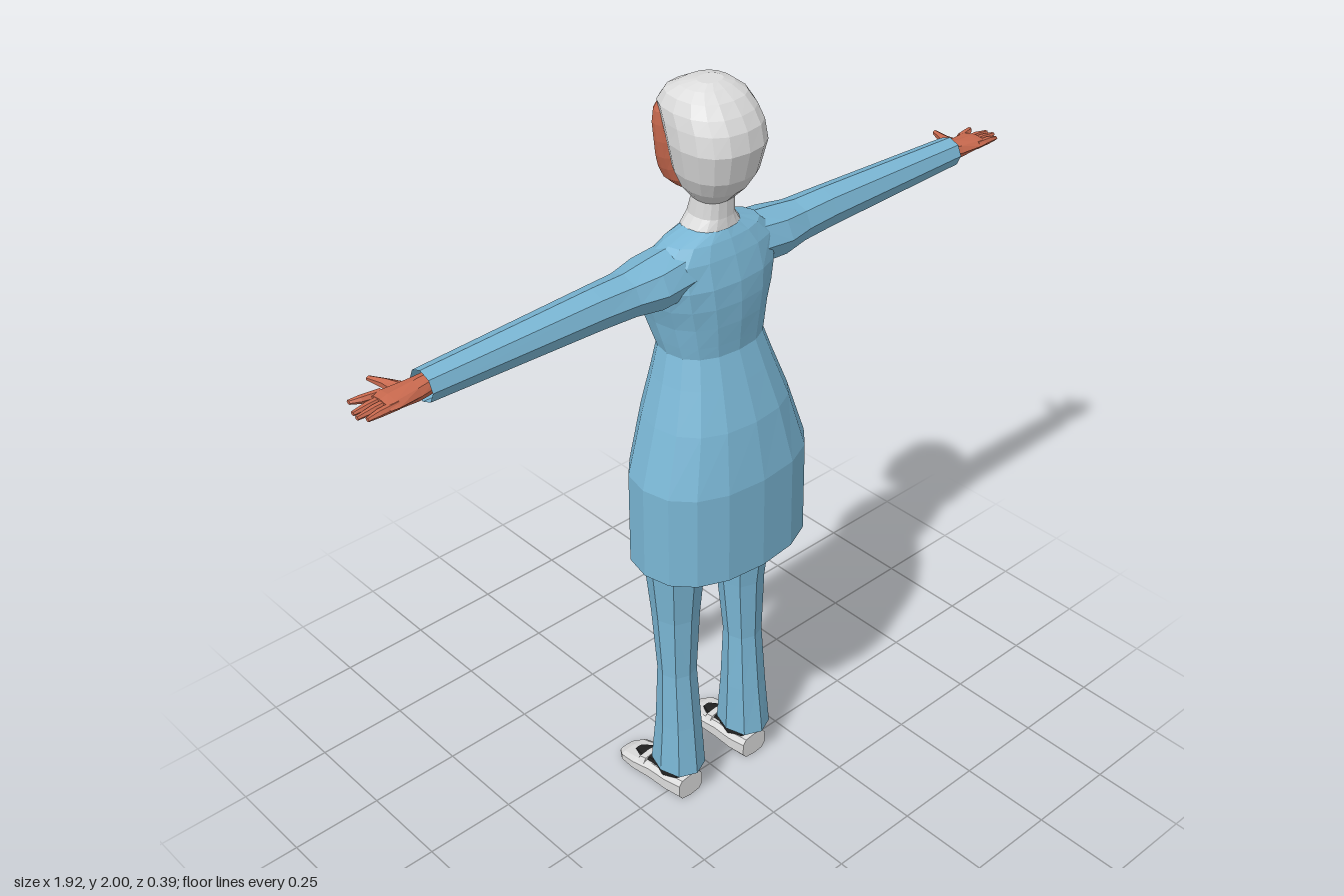
import * as THREE from 'three';

const mat = (name, color, open) => {
  const m = new THREE.MeshStandardMaterial({ color });
  m.name = name;
  if (open) m.side = THREE.DoubleSide;
  return m;
};

// Flat facets: every triangle gets its own normal
function facet(geo) {
  const g = geo.index ? geo.toNonIndexed() : geo;
  g.computeVertexNormals();
  return g;
}

// Reverse the corner order of all triangles
function flip(geo) {
  const p = geo.attributes.position;
  for (let i = 0; i < p.count; i += 3) {
    const b = [p.getX(i + 1), p.getY(i + 1), p.getZ(i + 1)];
    p.setXYZ(i + 1, p.getX(i + 2), p.getY(i + 2), p.getZ(i + 2));
    p.setXYZ(i + 2, ...b);
  }
  geo.computeVertexNormals();
  return geo;
}
const mirror = (geo) => flip(geo.clone().scale(-1, 1, 1));

const PLACE = {
  x: (p, u, v) => [p, v, u],
  y: (p, u, v) => [u, p, v],
  z: (p, u, v) => [v, u, p],
};

// Skin rounded-box rings along an axis; ring = [position, uMin, uMax, vMin, vMax]
// u, v are z, y along x; x, z along y; y, x along z
function loft(axis, rings, n = 8, power = 2, caps = true) {
  const pos = [], idx = [];
  const bend = (c) => Math.sign(c) * Math.pow(Math.abs(c), 2 / power);
  for (const [p, u0, u1, v0, v1] of rings) {
    for (let j = 0; j < n; j++) {
      const t = (j / n) * Math.PI * 2;
      const u = (u0 + u1) / 2 + ((u1 - u0) / 2) * bend(Math.cos(t));
      const v = (v0 + v1) / 2 + ((v1 - v0) / 2) * bend(Math.sin(t));
      pos.push(...PLACE[axis](p, u, v));
    }
  }
  for (let i = 0; i < rings.length - 1; i++) {
    for (let j = 0; j < n; j++) {
      const k = (j + 1) % n, a = i * n, b = a + n;
      idx.push(a + j, b + j, a + k, a + k, b + j, b + k);
    }
  }
  if (caps) {
    [rings[0], rings[rings.length - 1]].forEach(([p, u0, u1, v0, v1], end) => {
      const c = pos.length / 3, s = end * (rings.length - 1) * n;
      pos.push(...PLACE[axis](p, (u0 + u1) / 2, (v0 + v1) / 2));
      for (let j = 0; j < n; j++) {
        const k = (j + 1) % n;
        idx.push(c, s + (end ? k : j), s + (end ? j : k));
      }
    });
  }
  const g = new THREE.BufferGeometry();
  g.setAttribute('position', new THREE.Float32BufferAttribute(pos, 3));
  g.setIndex(idx);
  return facet(g);
}

// Face profile: [height, half width, front z]
const FACE = [[1.728, 0.026, -0.116], [1.75, 0.05, -0.126], [1.78, 0.064, -0.13], [1.81, 0.073, -0.127],
  [1.85, 0.08, -0.123], [1.89, 0.083, -0.126], [1.92, 0.081, -0.122], [1.945, 0.07, -0.11]];
const FACE_BACK = -0.045, FACE_POWER = 2.3;

function faceZ(x, y) {
  let i = 0;
  while (i < FACE.length - 2 && FACE[i + 1][0] < y) i++;
  const a = FACE[i], b = FACE[i + 1], f = (y - a[0]) / (b[0] - a[0]);
  const w = a[1] + (b[1] - a[1]) * f, z = a[2] + (b[2] - a[2]) * f;
  const drop = Math.pow(Math.max(0, 1 - Math.pow(Math.abs(x) / w, FACE_POWER)), 1 / FACE_POWER);
  return (z + FACE_BACK) / 2 + ((z - FACE_BACK) / 2) * drop;
}

// Thin painted patch draped over the face, which looks toward -z
function patch(points, lift) {
  const shape = new THREE.Shape(points.map(([x, y]) => new THREE.Vector2(x, y)));
  const g = new THREE.ShapeGeometry(shape).toNonIndexed();
  const p = g.attributes.position;
  for (let i = 0; i < p.count; i++) p.setZ(i, faceZ(p.getX(i), p.getY(i)) - lift);
  return flip(g);
}

export function createModel() {
  const root = new THREE.Group();
  root.name = 'standingWoman';
  const cloth = mat('blueCloth', 0x7ab6d4, true);
  const white = mat('offWhite', 0xdcdcdc);
  const skin = mat('skin', 0xc8694e);
  const black = mat('black', 0x222222);
  const iris = mat('irisBlue', 0x5f9fb8);
  const lip = mat('lipRed', 0xa8483c);
  const add = (name, geo, material) => {
    const m = new THREE.Mesh(geo, material);
    m.name = name;
    root.add(m);
  };
  const pair = (name, geo, material) => {
    add(name + 'Left', geo, material);
    add(name + 'Right', mirror(geo), material);
  };

  // Tunic: [height, half width, front z, back z]
  const tunic = [[0.8, 0.24, -0.135, 0.192], [1.05, 0.238, -0.135, 0.19], [1.2, 0.19, -0.125, 0.16],
    [1.3, 0.155, -0.11, 0.125], [1.37, 0.133, -0.1, 0.1], [1.4, 0.14, -0.115, 0.102], [1.45, 0.15, -0.142, 0.106],
    [1.5, 0.165, -0.137, 0.107], [1.55, 0.175, -0.115, 0.103], [1.61, 0.17, -0.082, 0.085],
    [1.645, 0.13, -0.06, 0.07], [1.668, 0.06, -0.045, 0.055]];
  add('tunic', loft('y', tunic.map(([y, w, f, b]) => [y, -w, w, f, b]), 16, 2.3, false), cloth);

  // Sleeves
  pair('sleeve', loft('x', [[0.1, -0.07, 0.075, 1.515, 1.645], [0.19, -0.073, 0.078, 1.512, 1.634],
    [0.26, -0.053, 0.064, 1.521, 1.626], [0.35, -0.046, 0.06, 1.525, 1.626],
    [0.8, -0.03, 0.05, 1.538, 1.612]], 8, 2, false), cloth);

  // Hands
  pair('palm', loft('x', [[0.77, -0.015, 0.035, 1.555, 1.6], [0.82, -0.02, 0.042, 1.553, 1.597],
    [0.88, -0.03, 0.05, 1.562, 1.592], [0.9, -0.024, 0.048, 1.566, 1.588]]), skin);
  const fingers = [[-0.02, -0.042, 0.94], [-0.001, -0.002, 0.957], [0.017, 0.017, 0.96], [0.036, 0.036, 0.948]];
  for (const [z0, z1, tip] of fingers) {
    const mid = (z0 + z1) / 2;
    pair('finger', loft('x', [[0.875, z0 - 0.011, z0 + 0.011, 1.566, 1.588],
      [0.92, mid - 0.01, mid + 0.01, 1.567, 1.585], [tip, z1 - 0.006, z1 + 0.006, 1.568, 1.578]], 6), skin);
  }
  pair('thumb', loft('z', [[-0.09, 1.568, 1.579, 0.852, 0.866], [-0.05, 1.562, 1.585, 0.832, 0.858],
    [-0.005, 1.558, 1.59, 0.81, 0.86]], 6), skin);

  // Trousers
  pair('trouserLeg', loft('y', [[0.1, 0.055, 0.182, -0.07, 0.08], [0.25, 0.06, 0.172, -0.055, 0.065],
    [0.42, 0.066, 0.165, -0.048, 0.05], [0.6, 0.053, 0.172, -0.066, 0.055],
    [0.8, 0.038, 0.192, -0.083, 0.075], [0.95, 0.015, 0.2, -0.09, 0.1]], 8, 2.2, false), cloth);

  // Shoes: [z, middle x, half width, height]
  const shoe = [[-0.195, 0.128, 0.026, 0.02], [-0.17, 0.126, 0.045, 0.034], [-0.12, 0.123, 0.052, 0.048],
    [-0.06, 0.12, 0.049, 0.062], [0, 0.118, 0.049, 0.066], [0.052, 0.117, 0.042, 0.072]];
  pair('shoe', loft('z', shoe.map(([z, x, w, h]) => [z, 0, h, x - w, x + w]), 10, 3.2), white);
  pair('sock', loft('y', [[0.03, 0.078, 0.16, -0.075, 0.045], [0.075, 0.078, 0.16, -0.068, 0.045],
    [0.14, 0.085, 0.155, -0.045, 0.045]], 8, 2.3), black);
  pair('instep', loft('z', [[-0.15, 0.03, 0.042, 0.112, 0.138], [-0.12, 0.03, 0.053, 0.094, 0.152],
    [-0.05, 0.03, 0.075, 0.086, 0.156]], 8, 2.5), black);
  pair('shoeStrap', loft('z', [[-0.108, 0.02, 0.06, 0.078, 0.168], [-0.085, 0.02, 0.067, 0.077, 0.167]],
    8, 2.6), white);

  // Headscarf, wrapped neck included: [height, half width, front z, back z]
  const scarf = [[1.605, 0.065, -0.092, 0.04], [1.665, 0.068, -0.055, 0.058], [1.69, 0.05, -0.048, 0.055],
    [1.73, 0.046, -0.036, 0.055], [1.76, 0.07, -0.06, 0.085], [1.8, 0.09, -0.072, 0.11], [1.87, 0.105, -0.082, 0.127],
    [1.915, 0.103, -0.1, 0.118], [1.945, 0.098, -0.118, 0.1], [1.972, 0.084, -0.1, 0.075],
    [1.99, 0.06, -0.065, 0.045], [2, 0.03, -0.025, 0.025]];
  add('headscarf', loft('y', scarf.map(([y, w, f, b]) => [y, -w, w, f, b]), 16, 2.4), white);

  // Face
  add('face', loft('y', FACE.map(([y, w, f]) => [y, -w, w, f, FACE_BACK]), 20, FACE_POWER), skin);
  add('nose', loft('y', [[1.803, -0.015, 0.015, -0.138, -0.11], [1.815, -0.012, 0.012, -0.147, -0.11],
    [1.875, -0.006, 0.006, -0.127, -0.11]], 6), skin);
  const eye = (s, grow) => [[0.016 - grow, 1.868], [0.026, 1.877 + grow], [0.038, 1.88 + grow],
    [0.052 + grow, 1.874 + grow], [0.042, 1.866 - grow / 2], [0.028, 1.864 - grow / 2]].map(([x, y]) => [x * s, y]);
  const disc = (x, y, r) => Array.from({ length: 8 }, (_, i) =>
    [x + r * Math.cos(i * Math.PI / 4), y + r * Math.sin(i * Math.PI / 4)]);
  for (const s of [1, -1]) {
    const side = s > 0 ? 'Left' : 'Right';
    add('eyelashes' + side, patch(eye(s, 0.004), 0.003), black);
    add('eyeWhite' + side, patch(eye(s, 0), 0.004), white);
    add('iris' + side, patch(disc(0.034 * s, 1.872, 0.007), 0.005), iris);
    add('pupil' + side, patch(disc(0.034 * s, 1.872, 0.003), 0.006), black);
    add('eyebrow' + side, patch([[0.012, 1.892], [0.012, 1.899], [0.04, 1.909], [0.06, 1.899], [0.04, 1.903]]
      .map(([x, y]) => [x * s, y]), 0.003), black);
  }
  add('lips', patch([[-0.026, 1.774], [-0.007, 1.783], [0, 1.781], [0.007, 1.783], [0.026, 1.774],
    [0.01, 1.765], [-0.01, 1.765]], 0.003), lip);
  return root;
}
